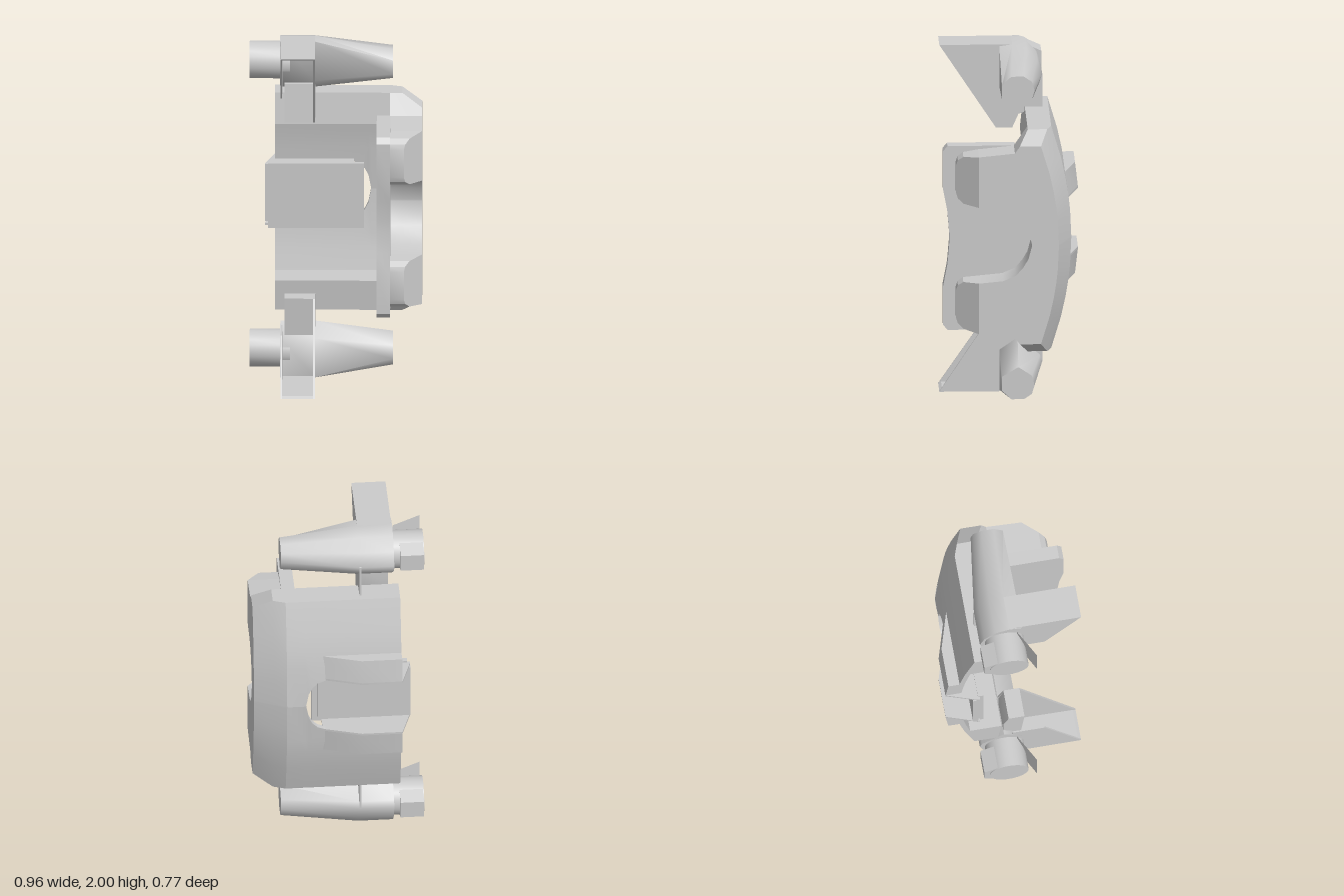
import * as THREE from 'three';
import { toCreasedNormals } from 'three/addons/utils/BufferGeometryUtils.js';

const material = new THREE.MeshStandardMaterial({ color: 0xcccccc });

// Closed solid through cross-sections [x, [[z, y], ...]] given in order of rising x.
function loft(sections, crease = 0.45) {
  const first = sections[0][1].map(([z, y]) => new THREE.Vector2(z, y));
  const reverse = THREE.ShapeUtils.area(first) < 0;
  const rings = sections.map(([x, pts]) => {
    const ring = pts.map(([z, y]) => new THREE.Vector3(x, y, z));
    return reverse ? ring.reverse() : ring;
  });
  const pos = [];
  const tri = (...corners) => corners.forEach((v) => pos.push(v.x, v.y, v.z));
  const cap = (ring, flip) => {
    const flat = ring.map((v) => new THREE.Vector2(v.z, v.y));
    for (const [a, b, c] of THREE.ShapeUtils.triangulateShape(flat, [])) {
      if (flip) tri(ring[a], ring[c], ring[b]);
      else tri(ring[a], ring[b], ring[c]);
    }
  };
  for (let s = 0; s + 1 < rings.length; s++) {
    const p = rings[s], q = rings[s + 1];
    for (let i = 0; i < p.length; i++) {
      const j = (i + 1) % p.length;
      tri(p[j], p[i], q[i]);
      tri(p[j], q[i], q[j]);
    }
  }
  cap(rings[0], false);
  cap(rings[rings.length - 1], true);
  const geo = new THREE.BufferGeometry();
  geo.setAttribute('position', new THREE.Float32BufferAttribute(pos, 3));
  return toCreasedNormals(geo, crease);
}

const mirrorPts = (pts) => pts.map(([z, y]) => [z, 2 - y]);
const prism = (x0, x1, pts) => [[x0, pts], [x1, pts]];
// Upper half outline joined to its mirror image below y = 1.
const whole = (pts) => [...pts, ...mirrorPts(pts).reverse()];

// Regular polygon cross-section, stretched in z and y.
function ring(cz, cy, rz, ry, n) {
  return Array.from({ length: n }, (_, i) => {
    const a = ((i + 0.5) / n) * Math.PI * 2;
    return [cz + rz * Math.cos(a), cy + ry * Math.sin(a)];
  });
}

export function createModel() {
  const model = new THREE.Group();
  const add = (name, geo) => {
    const mesh = new THREE.Mesh(geo, material);
    mesh.name = name;
    model.add(mesh);
    return mesh;
  };
  const solid = (name, sections, crease) => add(name, loft(sections, crease));
  const pair = (name, sections, crease) => {
    solid('upper' + name, sections, crease);
    solid('lower' + name, sections.map(([x, pts]) => [x, mirrorPts(pts)]), crease);
  };
  const box = (name, x0, x1, y0, y1, z0, z1) =>
    add(name, new THREE.BoxGeometry(x1 - x0, y1 - y0, z1 - z0))
      .position.set((x0 + x1) / 2, (y0 + y1) / 2, (z0 + z1) / 2);

  // Thin arched bridge with a thick lip at each end and a round-ended window
  const backZ = (y) => -0.335 + 0.112 * ((y - 1) / 0.64) ** 2;
  const shell = (y) => [backZ(y) + 0.03, y];
  const bridge = (c) => [
    ...[c, 1.25, 1.34, 1.46, 1.64].map((y) => [backZ(y), y]),
    [-0.09, 1.64], [-0.07, 1.462], shell(1.46), shell(1.34), shell(1.25), shell(c),
  ];
  pair('Bridge', [[-0.34, 1.17], [0.08, 1.17], [0.13, 1.15], [0.16, 1.12],
    [0.18, 1.08], [0.195, 1], [0.3, 1]].map(([x, c]) => [x, bridge(c)]));

  // Outer wall: chamfered at the back and ends, with a U cut-out between fingers
  const wall = (k, top, frontZ) => {
    const back = [1.005, 1.16, 1.25, 1.34, 1.46, 1.64].map((y) => {
      const t = (y - 1) / 0.64;
      return [backZ(y) + k * (0.075 - 0.012 * t * t), 1 + t * (top - 1)];
    });
    return whole([
      ...back, [frontZ, top], [-0.015, 1.53], [0.185, 1.51], [0.185, 1.218],
      [0.05, 1.205], [-0.02, 1.175], [-0.06, 1.13], [-0.09, 1.08], [-0.11, 1.005],
    ]);
  };
  solid('outerWall', [
    [0.3, wall(0, 1.64, -0.09)],
    [0.37, wall(0.39, 1.64, -0.09)],
    [0.48, wall(1, 1.57, -0.042)],
  ]);

  // Finger tips, tapering towards the front
  const finger = [[0.185, 1.51], [0.27, 1.495], [0.3, 1.47], [0.31, 1.44],
    [0.31, 1.28], [0.3, 1.25], [0.27, 1.226], [0.185, 1.218]];
  for (const [name, pts] of [['upperFinger', finger], ['lowerFinger', mirrorPts(finger)]]) {
    const geo = loft(prism(0.3, 0.48, pts));
    const p = geo.attributes.position;
    for (let i = 0; i < p.count; i++) {
      if (p.getX(i) > 0.4) p.setX(i, 0.48 - (p.getZ(i) - 0.185) * 0.8);
    }
    add(name, toCreasedNormals(geo, 0.45));
  }

  // Brake pad with a slightly hollow front edge
  solid('pad', prism(0.228, 0.304, whole([
    [-0.12, 1.05], [-0.115, 1.25], [-0.02, 1.53], [0.355, 1.53], [0.38, 1.5],
    [0.38, 1.28], [0.355, 1.15], [0.345, 1.03],
  ])));

  // Raised ribs beside the window, and the walls that run inward from them
  pair('Rib', [[-0.34, -0.386], [-0.115, -0.386], [0.1, -0.322]]
    .map(([x, z]) => [x, [[z, 1.18], [z + 0.016, 1.32], [-0.28, 1.32], [-0.3, 1.18]]]));
  pair('WindowWall', [[-0.395, -0.215], [-0.34, -0.386], [-0.115, -0.386], [0.1, -0.322]]
    .map(([x, z]) => [x, [[z, 1.168], [z, 1.18], [-0.2, 1.18], [-0.2, 1.168]]]));

  // Piston block behind the window
  box('pistonBlock', -0.38, 0.155, 0.81, 1.19, -0.21, -0.18);
  box('pistonBack', -0.396, 0.12, 0.84, 1.168, -0.24, -0.21);

  // Guide pins, sleeves and tapered arms
  pair('GuidePin', prism(-0.48, -0.255, ring(-0.05, 1.85, 0.11, 0.106, 20)));
  pair('PinSleeve', prism(-0.475, -0.345, ring(-0.08, 1.85, 0.127, 0.1, 6)));
  const hub = [[0.052, 1.76], [0.052, 1.99], [-0.02, 2], [-0.1, 1.975],
    [-0.16, 1.91], [-0.187, 1.83], [-0.175, 1.79], [-0.05, 1.69]];
  const tip = [[0.052, 1.8], [0.052, 1.88], [0, 1.93], [-0.07, 1.93],
    [-0.115, 1.9], [-0.13, 1.85], [-0.115, 1.795], [-0.04, 1.745]];
  pair('Arm', [[-0.31, hub], [-0.115, hub], [0.318, tip]], 1.2);

  // Slanted guard behind each pin, facing backwards
  for (const [name, y] of [['upperPinGuard', 1.85], ['lowerPinGuard', 0.15]]) {
    const guard = add(name, new THREE.PlaneGeometry(0.18, 0.22));
    guard.rotation.y = Math.PI + 0.5;
    guard.position.set(-0.395, y, 0.065);
  }

  // Bracket: top sheet, back sheet reaching the body, and two triangular webs
  pair('BracketSheet', prism(-0.302, -0.118,
    [[0.386, 2], [-0.02, 2], [-0.02, 1.98], [0.37, 1.99]]));
  pair('BracketBack', prism(-0.285, -0.118,
    [[0.05, 1.74], [0.07, 1.52], [-0.02, 1.52], [-0.05, 1.6], [-0.05, 1.74]]));
  pair('BracketWeb', prism(-0.126, -0.115, [[0.386, 2], [0.07, 1.52], [-0.02, 1.52],
    [-0.055, 1.6], [-0.188, 1.64], [-0.188, 1.83], [-0.02, 2]]));
  pair('BracketSideWeb', prism(-0.306, -0.298,
    [[0.386, 2], [0.18, 1.7], [0, 1.7], [0, 2]]));
  return model;
}
